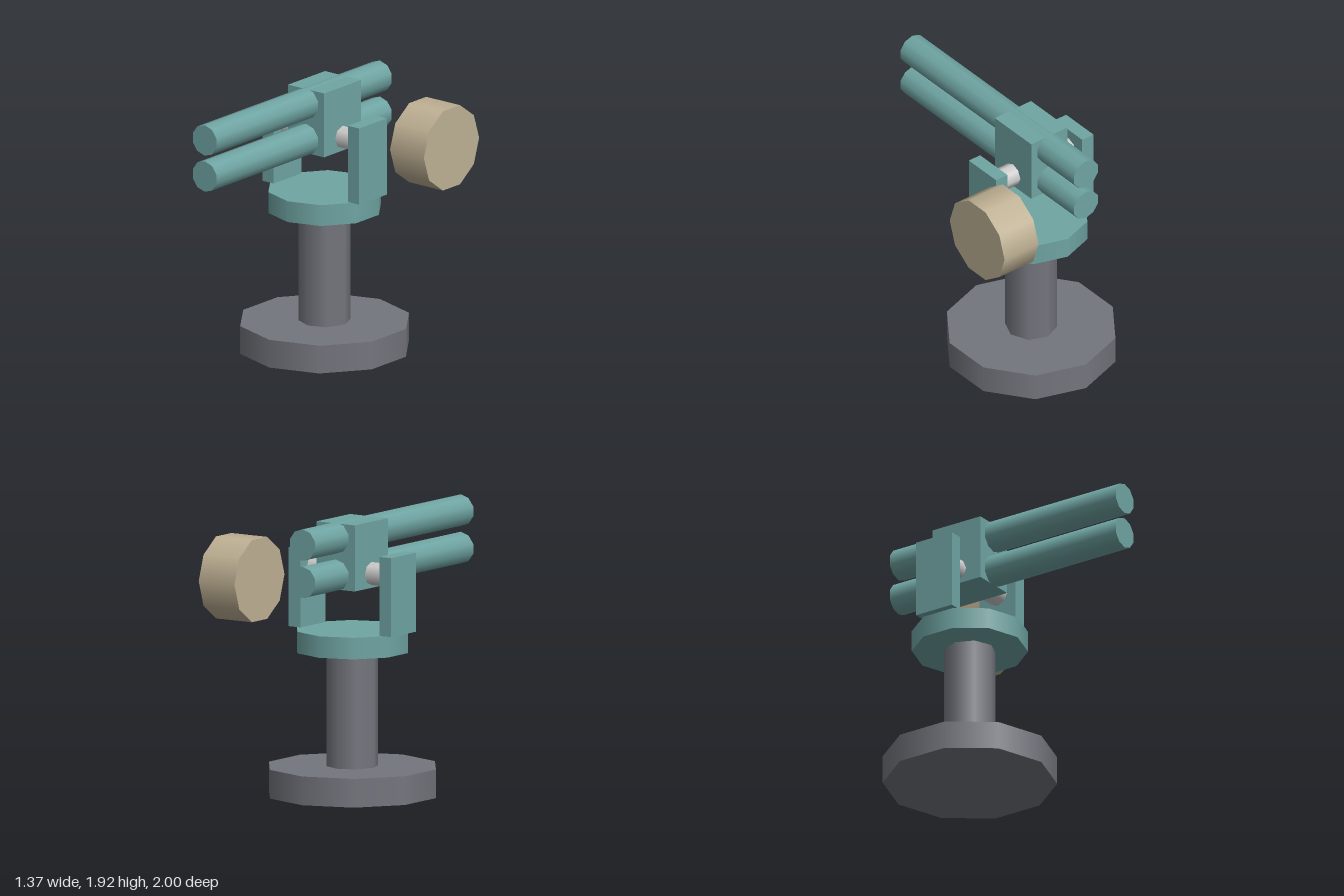
import * as THREE from 'three';

export function createModel() {
  const model = new THREE.Group();
  // Everything but the drum is centred on this vertical axis
  const CX = -0.115, CZ = -0.3;

  const teal = new THREE.MeshStandardMaterial({ color: 0x6fa5a3 });
  const darkGrey = new THREE.MeshStandardMaterial({ color: 0x74767e });
  const lightGrey = new THREE.MeshStandardMaterial({ color: 0xcccccc });
  const tan = new THREE.MeshStandardMaterial({ color: 0xbfb194 });

  function add(name, geometry, material, x, y, z) {
    const mesh = new THREE.Mesh(geometry, material);
    mesh.name = name;
    mesh.position.set(x, y, z);
    model.add(mesh);
    return mesh;
  }
  const cylinder = (r, length, sides) => new THREE.CylinderGeometry(r, r, length, sides);

  // Pedestal
  add('base', cylinder(0.6, 0.2, 10), darkGrey, CX, 0.1, CZ);
  add('column', cylinder(0.18, 0.8, 8), darkGrey, CX, 0.6, CZ);
  add('turntable', cylinder(0.4, 0.15, 10), teal, CX, 1.075, CZ);

  // Yoke arms with the pivot axle between them
  for (const [name, side] of [['leftYokeArm', 1], ['rightYokeArm', -1]]) {
    add(name, new THREE.BoxGeometry(0.1, 0.55, 0.3), teal, CX + side * 0.38, 1.425, CZ);
  }
  add('axle', cylinder(0.08, 0.7, 8).rotateZ(Math.PI / 2), lightGrey, CX, 1.55, CZ);

  // Receiver block and the two long barrels running through it
  add('receiver', new THREE.BoxGeometry(0.32, 0.46, 0.4), teal, CX, 1.68, CZ);
  for (const [name, y] of [['lowerBarrel', 1.55], ['upperBarrel', 1.81]]) {
    add(name, cylinder(0.11, 1.9, 10).rotateX(Math.PI / 2), teal, CX, y, 0.05);
  }

  // Drum set off to the left and behind
  add('drum', cylinder(0.3, 0.3, 10).rotateZ(Math.PI / 2), tan, 0.535, 1.5, -0.7);

  return model;
}
